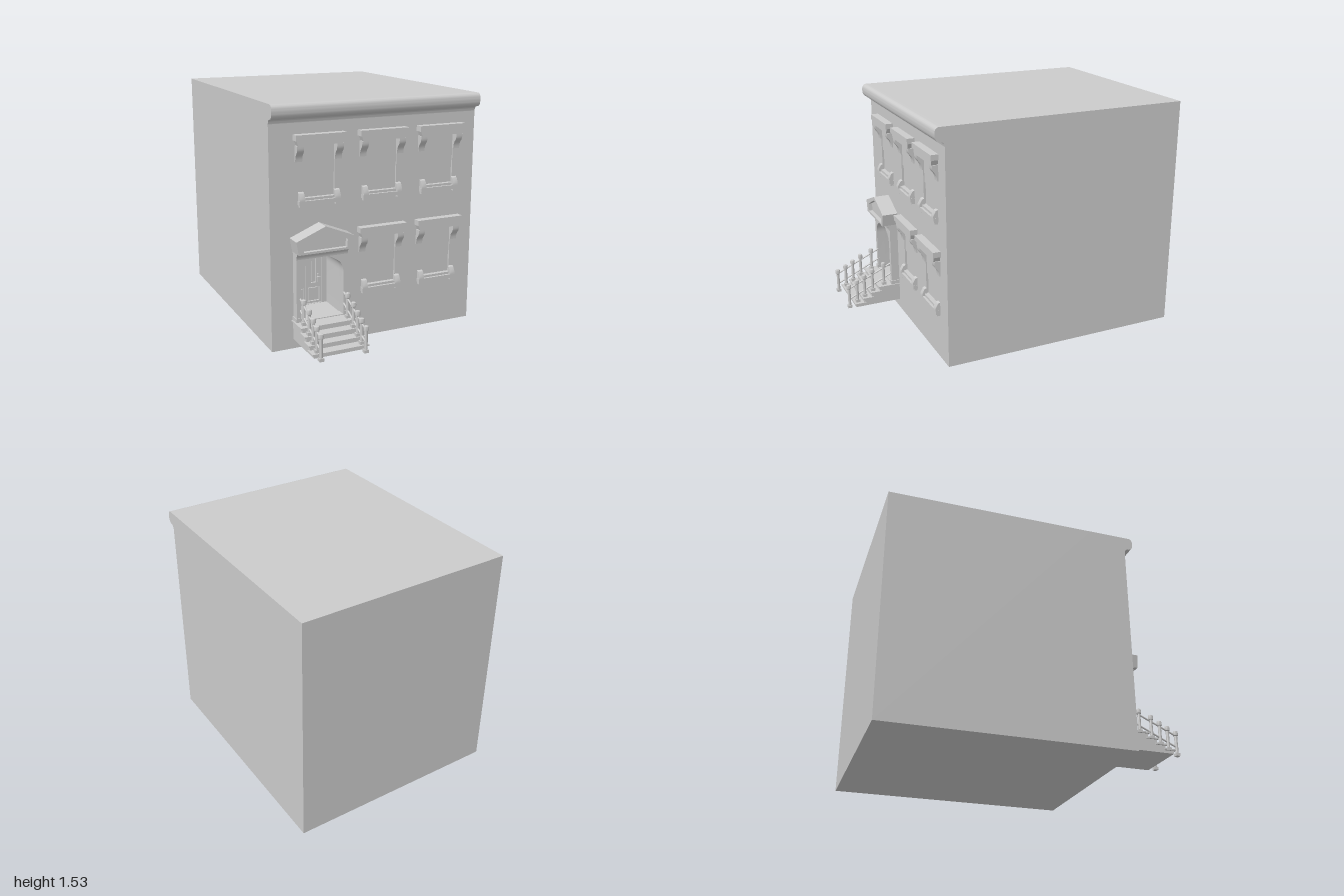
import * as THREE from 'three';
import { toCreasedNormals } from 'three/addons/utils/BufferGeometryUtils.js';

const mat = new THREE.MeshStandardMaterial({ color: 0xcccccc });
const DOOR_X = -0.393;
const FACE = 0.625; // z of the facade

function add(parent, name, geo) {
  const mesh = new THREE.Mesh(geo, mat);
  mesh.name = name;
  parent.add(mesh);
  return mesh;
}

function box(parent, name, x0, x1, y0, y1, z0, z1) {
  const g = new THREE.BoxGeometry(x1 - x0, y1 - y0, z1 - z0);
  g.translate((x0 + x1) / 2, (y0 + y1) / 2, (z0 + z1) / 2);
  return add(parent, name, g);
}

const poly = (pts) => new THREE.Shape(pts.map(([x, y]) => new THREE.Vector2(x, y)));

// outline in x,y pushed from z0 to z1
function slab(parent, name, shape, z0, z1) {
  const g = new THREE.ExtrudeGeometry(shape, { depth: z1 - z0, bevelEnabled: false, curveSegments: 8 });
  g.translate(0, 0, z0);
  return add(parent, name, toCreasedNormals(g, 0.6));
}

// side profile in z,y swept from x0 to x1
function sweep(parent, name, shape, x0, x1) {
  const g = new THREE.ExtrudeGeometry(shape, { depth: x1 - x0, bevelEnabled: false, curveSegments: 10 });
  g.rotateY(-Math.PI / 2).translate(x1, 0, 0);
  return add(parent, name, toCreasedNormals(g, 0.6));
}

const rect = (x0, x1, y0, y1) => poly([[x0, y0], [x1, y0], [x1, y1], [x0, y1]]);

// doorway with rounded shoulders and a shallow peak
function archShape(cx, hw, y0, peak) {
  const s = new THREE.Shape();
  s.moveTo(cx - hw, y0);
  s.lineTo(cx + hw, y0);
  s.lineTo(cx + hw, peak - 0.13);
  s.quadraticCurveTo(cx + hw, peak - 0.065, cx + hw - 0.045, peak - 0.042);
  s.quadraticCurveTo(cx + 0.035, peak, cx, peak);
  s.quadraticCurveTo(cx - 0.035, peak, cx - hw + 0.045, peak - 0.042);
  s.quadraticCurveTo(cx - hw, peak - 0.065, cx - hw, peak - 0.13);
  return s;
}

// heights are relative to the bottom of the opening
function makeWindow() {
  const w = new THREE.Group();
  w.name = 'window';
  box(w, 'upperSash', -0.107, 0.107, 0.16, 0.34, 0.56, 0.618);
  box(w, 'lowerSash', -0.107, 0.107, 0, 0.16, 0.56, 0.611);

  // lintel: slab over a tapered moulding
  box(w, 'lintelCap', -0.164, 0.164, 0.372, 0.407, FACE, 0.676);
  slab(w, 'lintelMoulding', poly([[-0.145, 0.34], [0.145, 0.34], [0.157, 0.372], [-0.157, 0.372]]), FACE, 0.668);

  const scroll = new THREE.Shape();
  scroll.moveTo(FACE, 0.24);
  scroll.lineTo(0.632, 0.24);
  scroll.bezierCurveTo(0.634, 0.3, 0.662, 0.285, 0.664, 0.325);
  scroll.lineTo(0.664, 0.34);
  scroll.lineTo(FACE, 0.34);

  box(w, 'sill', -0.137, 0.137, -0.022, 0.003, FACE, 0.655);
  box(w, 'sillLip', -0.115, 0.115, 0.003, 0.018, 0.605, 0.64);
  for (const s of [-1, 1]) {
    const span = (a, b) => (s > 0 ? [a, b] : [-b, -a]);
    sweep(w, 'lintelBracket', scroll, ...span(0.107, 0.152));
    sweep(w, 'sillEnd', poly([[FACE, 0], [0.657, 0], [0.657, 0.018], [0.64, 0.05], [FACE, 0.056]]), ...span(0.1, 0.135));
    box(w, 'sillFoot', ...span(0.106, 0.132), -0.036, -0.022, FACE, 0.648);
  }
  return w;
}

function makeDoorway() {
  const g = new THREE.Group();
  g.name = 'doorway';
  g.position.x = DOOR_X;

  // surround, cove and pediment
  const frame = rect(-0.172, 0.172, 0.19, 0.636);
  frame.holes.push(archShape(0, 0.142, 0.195, 0.6));
  slab(g, 'surround', frame, FACE, 0.68);
  const cove = new THREE.Shape();
  cove.moveTo(0.67, 0.59);
  cove.lineTo(0.68, 0.59);
  cove.quadraticCurveTo(0.684, 0.63, 0.725, 0.638);
  cove.lineTo(0.67, 0.638);
  sweep(g, 'cove', cove, -0.172, 0.172);
  const outline = [[-0.176, 0.634], [0.176, 0.634], [0.191, 0.718], [0, 0.796], [-0.191, 0.718]];
  slab(g, 'pedimentBack', poly(outline), FACE, 0.705);
  const rim = poly(outline);
  rim.holes.push(poly([[-0.143, 0.648], [0.143, 0.648], [0.147, 0.7], [0, 0.77], [-0.147, 0.7]]));
  slab(g, 'pedimentRim', rim, 0.705, 0.732);
  for (const s of [-1, 1]) {
    box(g, 'surroundFoot', s * 0.16 - 0.018, s * 0.16 + 0.018, 0.19, 0.215, FACE, 0.685);
  }

  // door frame and the two leaves at the back of the recess
  const jamb = archShape(0, 0.142, 0.19, 0.6);
  jamb.holes.push(rect(-0.107, 0.107, 0.192, 0.53));
  slab(g, 'doorFrame', jamb, 0.38, 0.425);
  for (const s of [-1, 1]) {
    const at = (a, b) => (s > 0 ? [a, b] : [-b, -a]);
    const leaf = rect(...at(0.001, 0.107), 0.192, 0.53);
    leaf.holes.push(rect(...at(0.036, 0.072), 0.33, 0.512), rect(...at(0.012, 0.095), 0.205, 0.302));
    slab(g, 'doorLeaf', leaf, 0.385, 0.414);
    box(g, 'doorBacking', ...at(0, 0.107), 0.192, 0.53, 0.38, 0.4);
    box(g, 'doorPane', ...at(0.043, 0.065), 0.338, 0.504, 0.4, 0.41);
    box(g, 'doorPanel', ...at(0.02, 0.087), 0.213, 0.294, 0.4, 0.41);
  }
  box(g, 'handlePlate', 0.08, 0.098, 0.33, 0.39, 0.414, 0.419);
  box(g, 'handle', 0.075, 0.098, 0.364, 0.371, 0.419, 0.432);
  return g;
}

function makeStoop() {
  const g = new THREE.Group();
  g.name = 'stoop';
  g.position.x = DOOR_X;

  // solid steps with overhanging treads
  const steps = [[0.78, 0.19], [0.84, 0.157], [0.897, 0.123], [0.955, 0.092]];
  const side = [[FACE, 0.064]];
  steps.slice().reverse().forEach(([z, y], i) => {
    side.push([z - 0.008, i ? steps[4 - i][1] - 0.008 : 0.064], [z - 0.008, y - 0.008]);
  });
  side.push([FACE, 0.182]);
  sweep(g, 'stepBlock', poly(side), -0.175, 0.175);
  steps.forEach(([z, y], i) => {
    box(g, 'tread', -0.186, 0.186, y - 0.01, y, i ? steps[i - 1][0] - 0.02 : FACE, z);
  });

  // turned posts with ball tops, joined by two sloping rails
  const posts = [[0.986, 0.06, 0.235], [0.928, 0.092, 0.262], [0.874, 0.123, 0.291], [0.815, 0.157, 0.325], [0.732, 0.19, 0.357]];
  for (const x of [-0.147, 0.147]) {
    for (const [z, y0, y1] of posts) {
      box(g, 'postFoot', x - 0.015, x + 0.015, y0, y0 + 0.02, z - 0.014, z + 0.014);
      const h = y1 - y0;
      const profile = [[0.0105, 0], [0.0105, h - 0.038], [0.016, h - 0.034], [0.017, h - 0.02], [0.014, h - 0.006], [0, h]];
      const post = new THREE.LatheGeometry(profile.map(([r, y]) => new THREE.Vector2(r, y)), 12);
      add(g, 'post', toCreasedNormals(post, 0.8)).position.set(x, y0, z);
    }
    for (const [a, b] of [[0.2, 0.343], [0.122, 0.268]]) {
      const path = new THREE.LineCurve3(new THREE.Vector3(x, a, 0.986), new THREE.Vector3(x, b, 0.67));
      add(g, 'rail', new THREE.TubeGeometry(path, 1, 0.006, 8));
    }
  }
  return g;
}

export function createModel() {
  const model = new THREE.Group();
  model.name = 'townhouse';

  // main block and the pierced front wall
  box(model, 'body', -0.71, 0.71, 0, 1.535, -1, 0.38);
  const wall = rect(-0.71, 0.71, 0, 1.535);
  wall.holes.push(archShape(DOOR_X, 0.142, 0.19, 0.6));
  const windows = [[-0.393, 0.94], [0.033, 0.94], [0.446, 0.94], [0.033, 0.33], [0.446, 0.33]];
  for (const [x, y] of windows) {
    wall.holes.push(rect(x - 0.107, x + 0.107, y, y + 0.34));
    const w = makeWindow();
    w.position.set(x, y, 0);
    model.add(w);
  }
  slab(model, 'frontWall', wall, 0.38, FACE);

  // rounded cornice over a small cove
  const c = new THREE.Shape();
  c.moveTo(FACE, 1.415);
  c.quadraticCurveTo(0.628, 1.444, 0.65, 1.446);
  c.bezierCurveTo(0.68, 1.448, 0.686, 1.47, 0.686, 1.495);
  c.quadraticCurveTo(0.686, 1.535, 0.655, 1.535);
  c.lineTo(FACE, 1.535);
  sweep(model, 'cornice', c, -0.71, 0.71);

  model.add(makeDoorway(), makeStoop());
  return model;
}
